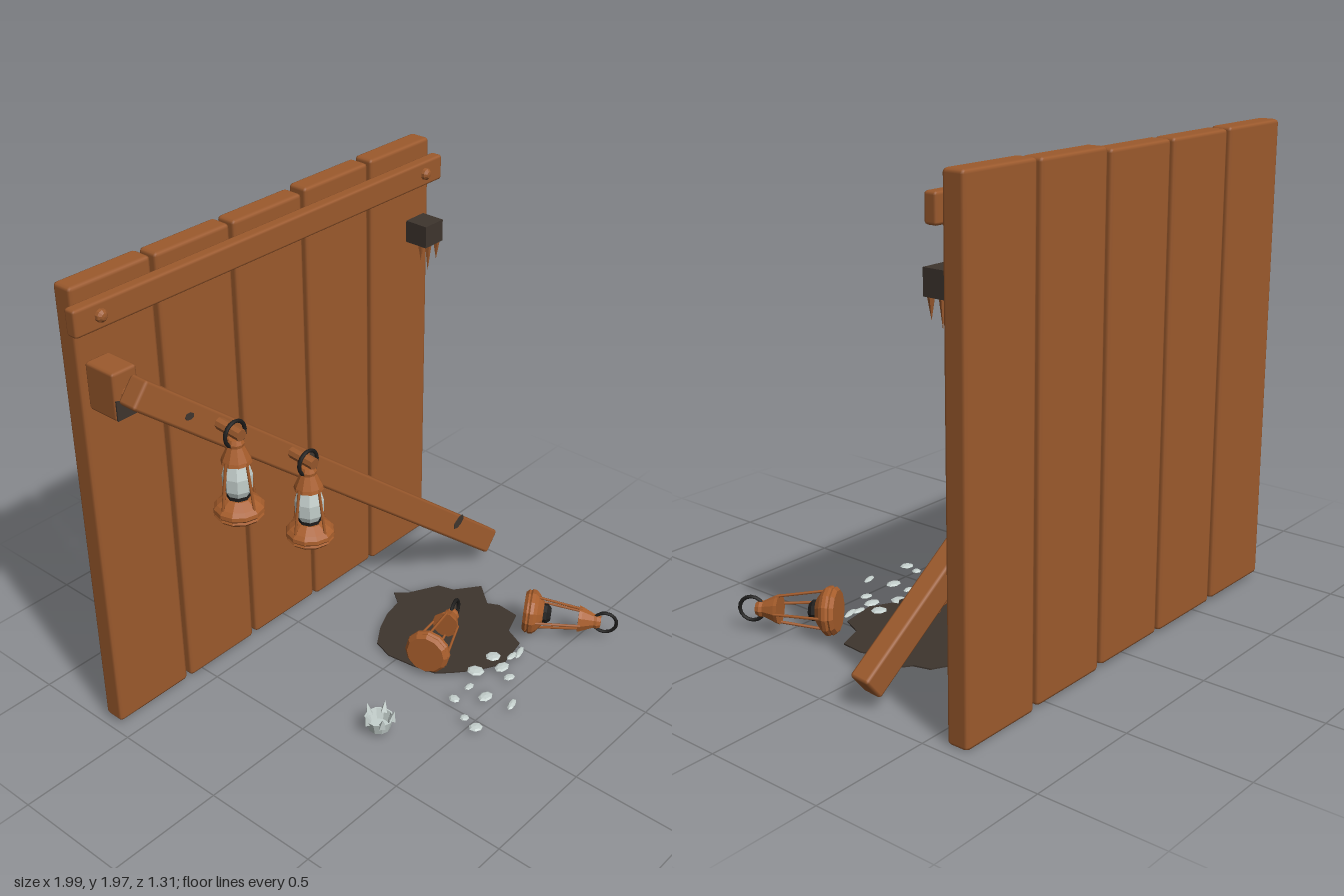
import * as THREE from 'three';
import { RoundedBoxGeometry } from 'three/addons/geometries/RoundedBoxGeometry.js';

const mat = (name, color) => {
  const m = new THREE.MeshStandardMaterial({ color });
  m.name = name;
  return m;
};

export function createModel() {
  const root = new THREE.Group();
  root.name = 'lanternWall';
  const wood = mat('wood', 0x9c5a2d);
  const copper = mat('copper', 0xa85e2c);
  const dark = mat('charredDark', 0x3e352e);
  const iron = mat('blackIron', 0x1e1d1c);
  const glass = mat('glass', 0xc6d1ce);

  const add = (parent, name, geo, material, x = 0, y = 0, z = 0) => {
    const m = new THREE.Mesh(geo, material);
    m.name = name;
    m.position.set(x, y, z);
    parent.add(m);
    return m;
  };
  // faceted copy of a geometry
  const flat = (geo) => {
    const g = geo.index ? geo.toNonIndexed() : geo;
    g.computeVertexNormals();
    return g;
  };
  const lathe = (pts, n = 10) =>
    flat(new THREE.LatheGeometry(pts.map(([r, y]) => new THREE.Vector2(r, y)), n));
  const box = (w, h, d, r = 0.012) => new RoundedBoxGeometry(w, h, d, 1, r);
  // thin irregular plate in the xy plane
  const plate = (pts, depth) => new THREE.ExtrudeGeometry(
    new THREE.Shape(pts.map(([x, y]) => new THREE.Vector2(x, y))), { depth, bevelEnabled: false });

  // wall planks: centre x, bottom, top
  [[-0.785, 0.02, 1.957], [-0.396, 0.017, 1.954], [-0.008, 0.02, 1.954],
    [0.38, 0.01, 1.966], [0.768, 0, 1.97]].forEach(([x, b, t]) =>
    add(root, 'plank', box(0.368, t - b, 0.092, 0.015), wood, x, (b + t) / 2, -0.615));

  // top rail with bolts
  add(root, 'topRail', box(1.98, 0.108, 0.054), wood, -0.01, 1.844, -0.546);
  const bolt = lathe([[0, 0], [0.026, 0], [0.024, 0.014], [0.013, 0.024], [0, 0.026]]);
  for (const x of [-0.887, 0.868])
    add(root, 'railBolt', bolt, wood, x, 1.845, -0.521).rotation.x = Math.PI / 2;

  // right-hand block that held the beam
  add(root, 'beamBracket', box(0.112, 0.19, 0.15), wood, -0.886, 1.573, -0.495);
  add(root, 'bracketBolt', bolt, wood, -0.886, 1.573, -0.422).rotation.x = Math.PI / 2;
  add(root, 'bracketScorch', plate([[-0.054, -0.09], [0.04, -0.09], [0.02, -0.03], [-0.054, -0.01]], 0.006),
    dark, -0.886, 1.573, -0.421);

  // broken block with splinters on the other side
  add(root, 'brokenBracket', flat(new THREE.BoxGeometry(0.112, 0.096, 0.11)), dark, 0.864, 1.592, -0.515);
  [[0.848, 0.13, -0.48], [0.897, 0.09, -0.475], [0.825, 0.08, -0.5], [0.87, 0.07, -0.53]].forEach(([x, h, z]) => {
    const s = add(root, 'splinter', flat(new THREE.ConeGeometry(0.016, h, 5)), wood, x, 1.552 - h / 2, z);
    s.rotation.x = Math.PI;
  });

  // fallen diagonal beam
  const beam = new THREE.Group();
  beam.name = 'fallenBeam';
  const d = new THREE.Vector3(1.872, -1.525, 0.165).normalize();
  const n = new THREE.Vector3(0, 0, 1).addScaledVector(d, -d.z).normalize();
  beam.quaternion.setFromRotationMatrix(
    new THREE.Matrix4().makeBasis(d, new THREE.Vector3().crossVectors(n, d), n));
  beam.position.set(0.021, 0.853, -0.272);
  add(beam, 'beamTimber', box(2.42, 0.115, 0.09), wood);
  const blot = [[-0.5, -0.1], [-0.3, -0.45], [0.1, -0.5], [0.45, -0.25], [0.5, 0.2], [0.15, 0.5], [-0.3, 0.4]];
  [[-0.954, 0, 0.04, 0.028, 0.6], [-0.22, 0, 0.05, 0.15, 0.6], [0.88, 0.025, 0.075, 0.04, 1.2]]
    .forEach(([x, y, w, h, a]) => {
      const s = add(beam, 'scorchMark', plate(blot.map(([u, v]) => [u * w, v * h]), 0.006), dark, x, y, 0.042);
      s.rotation.z = a;
    });
  root.add(beam);

  // lantern parts, standing on the origin
  const base = lathe([[0, 0], [0.083, 0], [0.096, 0.014], [0.092, 0.022], [0.099, 0.03],
    [0.097, 0.045], [0.084, 0.06], [0.05, 0.085], [0, 0.085]], 12);
  const burner = lathe([[0.045, 0.083], [0.045, 0.1], [0.028, 0.118], [0, 0.118]], 8);
  const chimney = lathe([[0.038, 0.086], [0.056, 0.125], [0.058, 0.18], [0.04, 0.245]], 8);
  const cap = lathe([[0, 0.238], [0.06, 0.238], [0.056, 0.252], [0.032, 0.305], [0.034, 0.318], [0.026, 0.335], [0, 0.337]]);
  const ring = new THREE.TorusGeometry(0.05, 0.008, 6, 16);
  const posts = [0, 1, 2, 3].map((i) => {
    const c = Math.cos(i * Math.PI / 2), s = Math.sin(i * Math.PI / 2);
    return new THREE.TubeGeometry(new THREE.LineCurve3(
      new THREE.Vector3(c * 0.082, 0.055, s * 0.082), new THREE.Vector3(c * 0.054, 0.25, s * 0.054)), 1, 0.006, 5);
  });
  const lantern = (name, x, y, z, whole) => {
    const g = new THREE.Group();
    g.name = name;
    add(g, 'lanternBase', base, copper);
    add(g, 'burner', burner, iron);
    add(g, 'lanternCap', cap, copper);
    add(g, 'carryRing', ring, iron, 0, 0.354, 0);
    posts.forEach((p) => add(g, 'guardWire', p, copper));
    if (whole) add(g, 'glassChimney', chimney, glass);
    g.position.set(x, y, z);
    root.add(g);
    return g;
  };

  // two hanging lanterns on pegs
  [[-0.587, 1.005, -0.203], [-0.246, 0.735, -0.17]].forEach(([x, y, z]) => {
    lantern('hangingLantern', x, y, z, true);
    const peg = add(root, 'peg', flat(new THREE.CylinderGeometry(0.024, 0.024, 0.15, 8)), wood, x, y + 0.365, z - 0.04);
    peg.rotation.x = Math.PI / 2 + 0.08;
  });

  // two fallen lanterns: base point, then axis direction
  [[0.08, 0.115, 0.165, 0.325, -0.015, -0.105], [0.603, 0.115, 0.297, 0.175, -0.015, 0.303]]
    .forEach(([x, y, z, a, b, c]) => {
      const g = lantern('fallenLantern', x, y, z, false);
      const up = new THREE.Vector3(a, b, c).normalize();
      const side = new THREE.Vector3().crossVectors(up, new THREE.Vector3(0, 1, 0)).normalize();
      g.quaternion.setFromRotationMatrix(
        new THREE.Matrix4().makeBasis(new THREE.Vector3().crossVectors(up, side), up, side));
    });

  // spilled oil, outline as x, z
  const oil = [[0.07, -0.03], [0.1, -0.12], [0.19, -0.18], [0.28, -0.22], [0.38, -0.24], [0.425, -0.3],
    [0.47, -0.25], [0.6, -0.18], [0.62, -0.11], [0.725, -0.03], [0.64, 0.07], [0.665, 0.12], [0.655, 0.22],
    [0.545, 0.26], [0.505, 0.35], [0.35, 0.38], [0.24, 0.32], [0.16, 0.25], [0.11, 0.2], [0.085, 0.1]];
  add(root, 'oilPuddle', plate(oil.map(([x, z]) => [x, -z]), 0.006), dark, 0, 0.014, 0).rotation.x = -Math.PI / 2;

  // scattered glass shards: x, z, half width, half depth
  const chip = flat(new THREE.SphereGeometry(1, 7, 4));
  [[0.03, 0.365, 0.022, 0.027], [0.13, 0.365, 0.026, 0.016], [-0.035, 0.47, 0.02, 0.02],
    [-0.05, 0.54, 0.03, 0.027], [0.125, 0.455, 0.036, 0.027], [0.157, 0.567, 0.038, 0.015],
    [0.29, 0.455, 0.027, 0.02], [0.322, 0.392, 0.038, 0.027], [0.23, 0.322, 0.034, 0.038],
    [0.355, 0.32, 0.034, 0.032], [0.41, 0.38, 0.034, 0.015], [0.45, 0.39, 0.045, 0.014]]
    .forEach(([x, z, w, l], i) => {
      const s = add(root, 'glassShard', chip, glass, x, 0.022, z);
      s.scale.set(w, 0.008, l);
      s.rotation.y = (i % 3 - 1) * 0.3;
    });

  // broken chimney bottom with jagged rim
  const cup = new THREE.Group();
  cup.name = 'brokenChimney';
  add(cup, 'cupBody', lathe([[0, 0], [0.045, 0], [0.06, 0.055], [0.054, 0.055], [0.04, 0.01], [0, 0.01]]), glass);
  for (let i = 0; i < 5; i++) {
    const a = i * Math.PI * 0.4;
    const tooth = add(cup, 'jaggedTooth', flat(new THREE.ConeGeometry(0.018, 0.05, 4)), glass,
      Math.sin(a) * -0.058, 0.066, Math.cos(a) * -0.058);
    tooth.rotation.set(-Math.cos(a) * 0.25, 0, Math.sin(a) * 0.25);
  }
  cup.position.set(-0.307, 0.024, 0.245);
  root.add(cup);

  return root;
}
